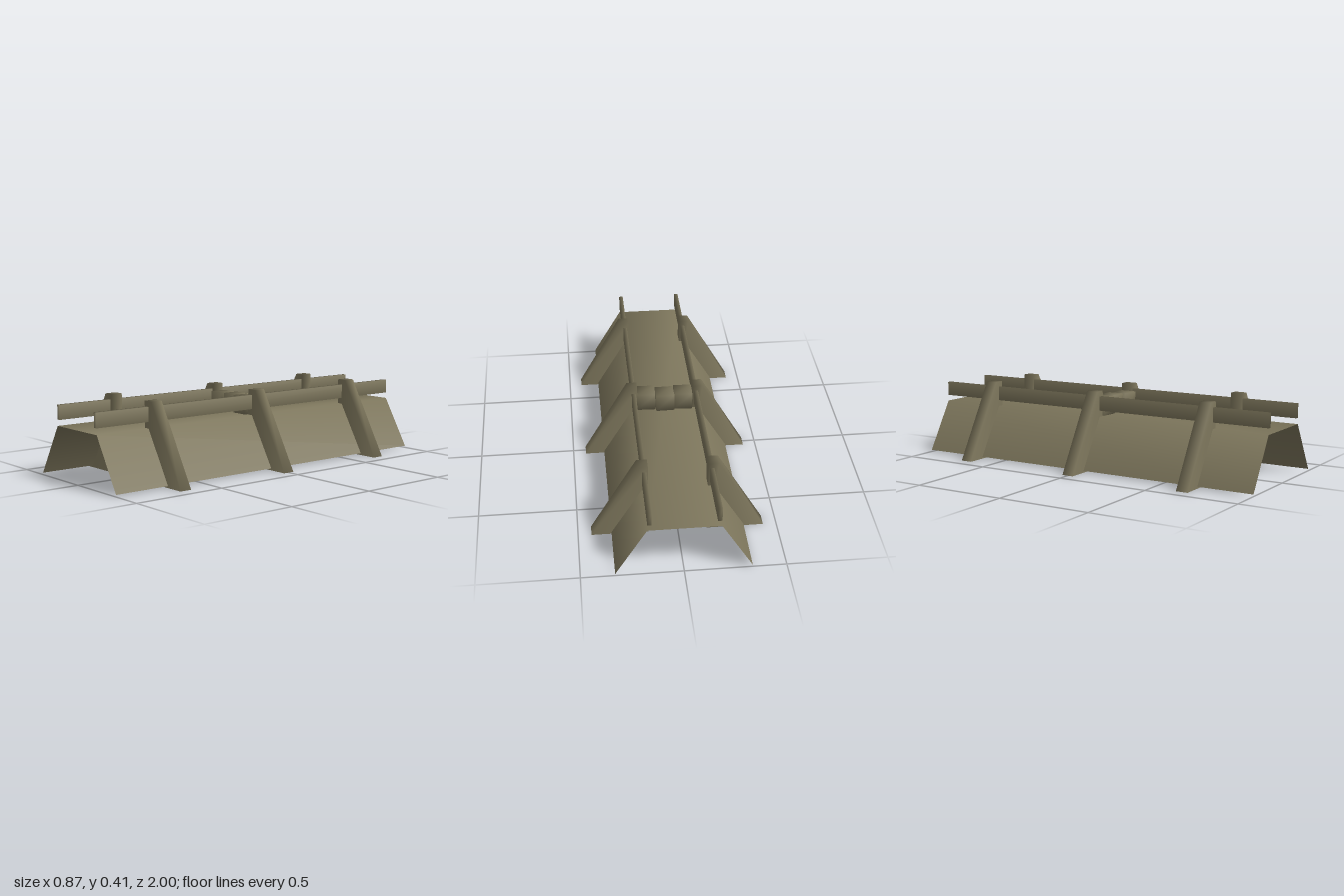
import * as THREE from 'three';
import { mergeVertices } from 'three/addons/utils/BufferGeometryUtils.js';

const olive = new THREE.MeshStandardMaterial({ color: 0x7d765c, side: THREE.DoubleSide });
olive.name = 'drab olive';

// Share corners so the shading runs softly over the edges
function soften(geometry) {
  geometry.deleteAttribute('normal');
  geometry.deleteAttribute('uv');
  const merged = mergeVertices(geometry, 1e-4);
  merged.computeVertexNormals();
  return merged;
}

function addPart(parent, name, geometry, x = 0, y = 0, z = 0) {
  const mesh = new THREE.Mesh(geometry, olive);
  mesh.name = name;
  mesh.position.set(x, y, z);
  parent.add(mesh);
  return mesh;
}

// Thin folded sheet: one cross-section swept along z
function sheetGeometry() {
  const profile = [[-0.333, 0.01], [-0.177, 0.272], [0.177, 0.272], [0.333, 0.01]];
  const positions = [];
  const index = [];
  profile.forEach(([x, y]) => positions.push(x, y, 1, x, y, -1));
  for (let i = 0; i < profile.length - 1; i++) {
    const a = i * 2;
    index.push(a, a + 2, a + 3, a, a + 3, a + 1);
  }
  const geometry = new THREE.BufferGeometry();
  geometry.setAttribute('position', new THREE.Float32BufferAttribute(positions, 3));
  geometry.setIndex(index);
  geometry.computeVertexNormals();
  return geometry;
}

// Buttress with an upright inner face, sloping outer face and open foot
function buttressGeometry(side) {
  const geometry = new THREE.BoxGeometry(1, 1, 0.064);
  const p = geometry.attributes.position;
  for (let i = 0; i < p.count; i++) {
    const outer = p.getX(i) * side > 0;
    const top = p.getY(i) > 0;
    p.setX(i, side * (outer ? (top ? 0.2 : 0.433) : 0.147));
    p.setY(i, top ? 0.407 : 0);
  }
  // Leave out the bottom face (fourth of six, six indices each)
  const index = Array.from(geometry.index.array);
  index.splice(18, 6);
  geometry.setIndex(index);
  return soften(geometry);
}

export function createModel() {
  const model = new THREE.Group();
  model.name = 'barricade';

  addPart(model, 'foldedSheet', sheetGeometry());

  // Handrails and buttresses on both sides
  for (const side of [-1, 1]) {
    const label = side > 0 ? 'left' : 'right';
    addPart(model, label + 'Rail', soften(new THREE.BoxGeometry(0.021, 0.075, 2)), side * 0.166, 0.342, 0);
    const buttress = buttressGeometry(side);
    for (const z of [-0.667, 0, 0.667]) addPart(model, label + 'Buttress', buttress, 0, 0, z);
  }

  // Row of slightly uneven blocks across the middle
  const block = soften(new THREE.BoxGeometry(0.097, 0.094, 0.088));
  [[-0.099, 0.001, -0.05], [0, -0.007, 0.03], [0.099, 0.01, -0.03]].forEach(([x, z, turn]) => {
    addPart(model, 'block', block, x, 0.321, z).rotation.y = turn;
  });

  return model;
}
